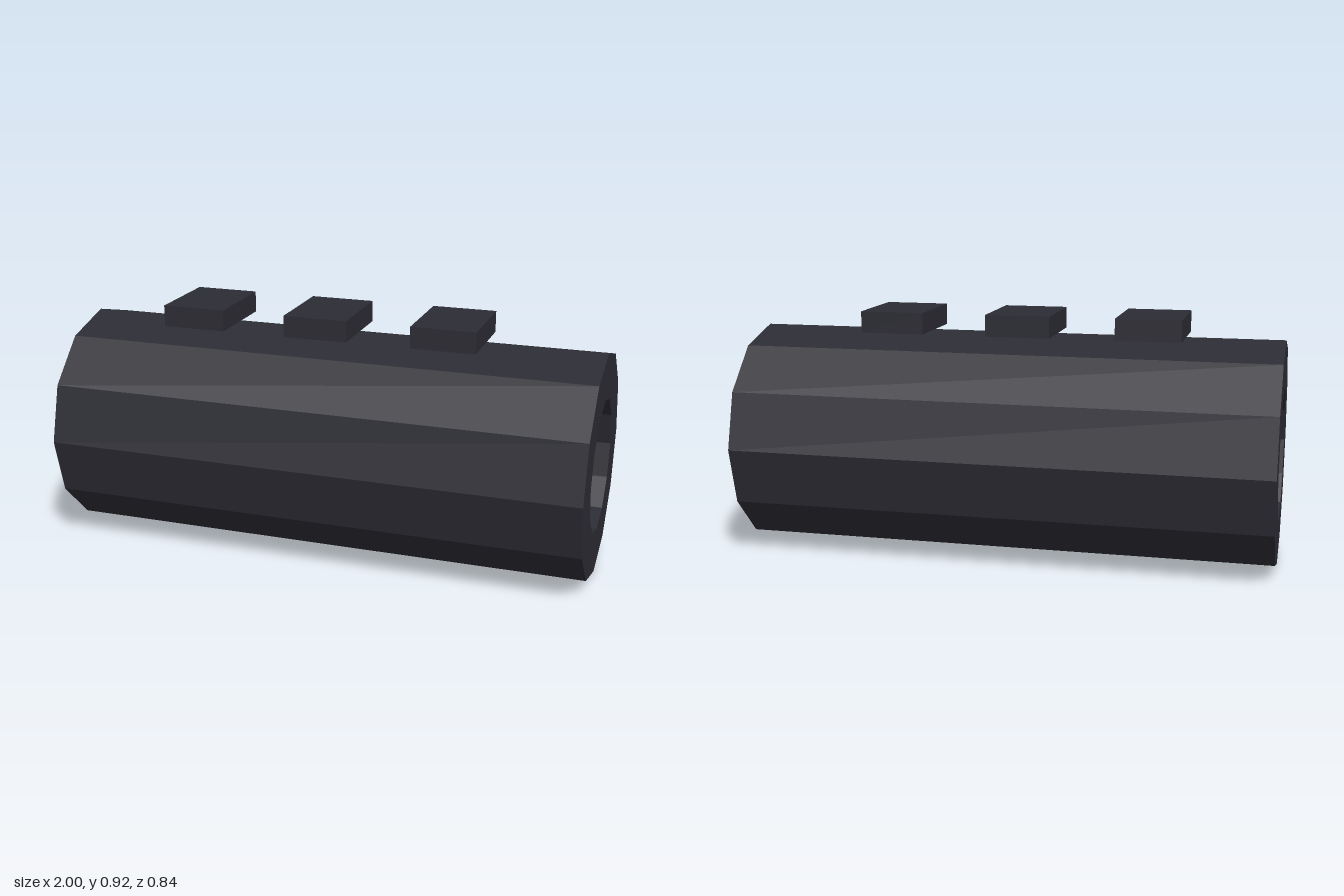
import * as THREE from 'three';

const LENGTH = 2, OUTER = 0.42, INNER = 0.248, SIDES = 12;

// Regular polygon outline with a corner at the top
function polygon(path, radius) {
  for (let i = 0; i < SIDES; i++) {
    const a = (i / SIDES) * Math.PI * 2 + Math.PI / 2;
    path[i ? 'lineTo' : 'moveTo'](radius * Math.cos(a), radius * Math.sin(a));
  }
  path.closePath();
  return path;
}

export function createModel() {
  const group = new THREE.Group();
  group.name = 'railedTube';
  const darkMetal = new THREE.MeshStandardMaterial({ color: 0x2c2c34, flatShading: true });
  darkMetal.name = 'dark metal';

  // Thick hollow tube lying along x
  const ring = polygon(new THREE.Shape(), OUTER);
  ring.holes.push(polygon(new THREE.Path(), INNER));
  const tubeGeometry = new THREE.ExtrudeGeometry(ring, { depth: LENGTH, bevelEnabled: false });
  tubeGeometry.translate(0, 0, -LENGTH / 2);
  tubeGeometry.rotateY(Math.PI / 2);
  const tube = new THREE.Mesh(tubeGeometry, darkMetal);
  tube.name = 'tube';
  tube.position.y = OUTER;
  group.add(tube);

  // Row of rail blocks resting on the top ridge
  const blockGeometry = new THREE.BoxGeometry(0.24, 0.08, 0.32);
  for (let i = 0; i < 3; i++) {
    const block = new THREE.Mesh(blockGeometry, darkMetal);
    block.name = `railBlock${i + 1}`;
    block.position.set(-0.52 + i * 0.48, OUTER * 2 + 0.04, 0);
    group.add(block);
  }
  return group;
}
